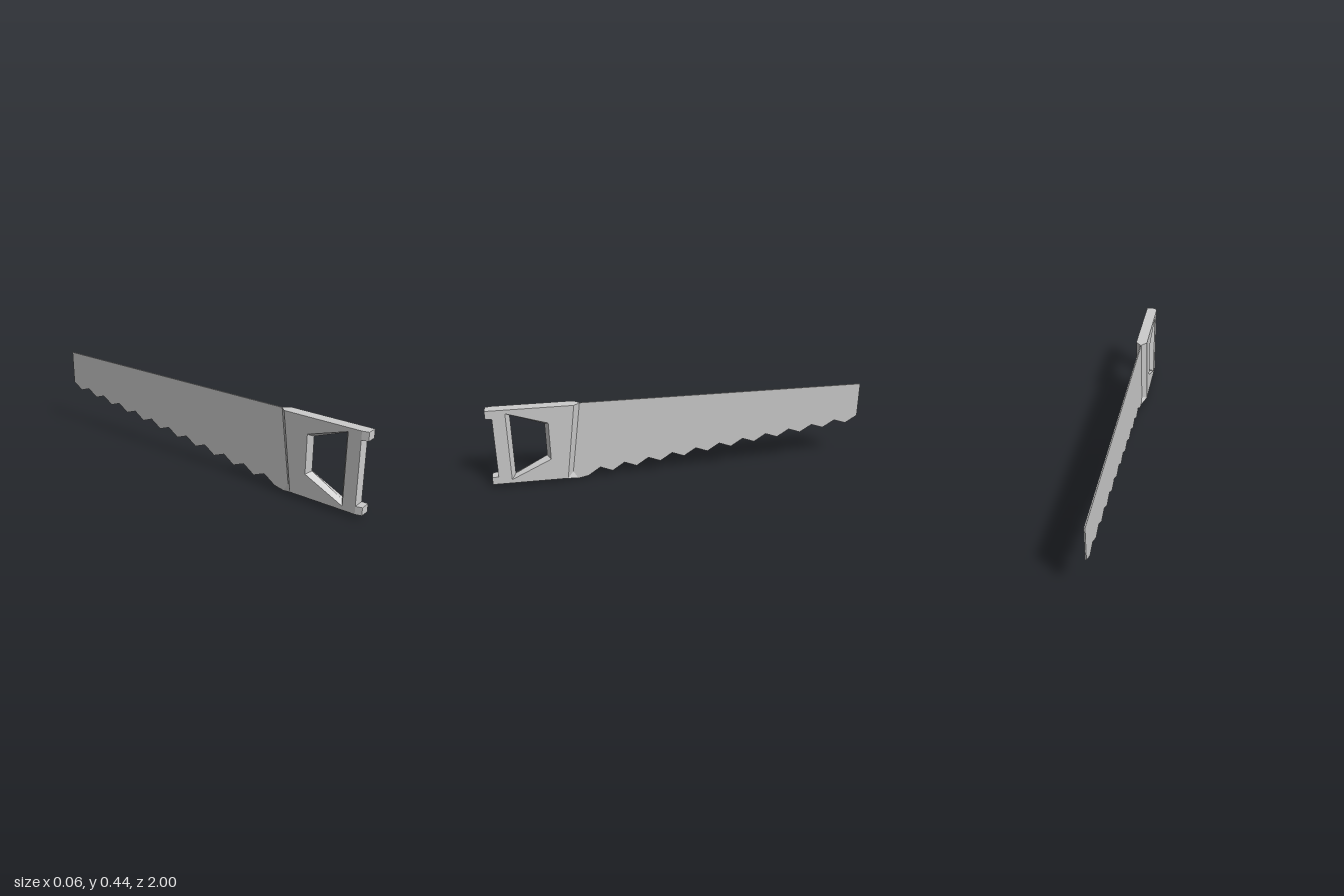
import * as THREE from 'three';

const material = new THREE.MeshStandardMaterial({ color: 0xcccccc, flatShading: true });
const HALF = 0.031;   // half width of the handle
const THIN = 0.003;   // half thickness of the blade

// Profiles are [z, y] points, counter-clockwise as seen from +x.
const OUTER = [[0.555, 0.438], [0.967, 0.438], [0.967, 0.02], [0.61, 0.02]];
const HOLE = [[0.9, 0.418], [0.9, 0.04], [0.69, 0.142], [0.69, 0.35]];
const HOLE_MID = [[0.88, 0.4], [0.88, 0.06], [0.71, 0.154], [0.71, 0.335]];
const NOSE = [[0.525, 0.438], [0.58, 0.045], [0.555, 0]];

const at = (x, points) => points.map(([z, y]) => [x, y, z]);
const shapePoints = (points, sign) => points.map(([z, y]) => new THREE.Vector2(sign * z, y));

function add(group, name, geometry) {
  const mesh = new THREE.Mesh(geometry, material);
  mesh.name = name;
  group.add(mesh);
}

// Flat faces from a list of convex corner loops
function facets(polygons) {
  const positions = [];
  for (const p of polygons) {
    for (let i = 1; i < p.length - 1; i++) positions.push(...p[0], ...p[i], ...p[i + 1]);
  }
  const geometry = new THREE.BufferGeometry();
  geometry.setAttribute('position', new THREE.Float32BufferAttribute(positions, 3));
  geometry.computeVertexNormals();
  return geometry;
}

// Quads joining two matching loops
function band(a, b, closed) {
  const quads = [];
  for (let i = 0; i < (closed ? a.length : a.length - 1); i++) {
    const j = (i + 1) % a.length;
    quads.push([a[i], b[i], b[j], a[j]]);
  }
  return quads;
}

function createHandle() {
  const handle = new THREE.Group();
  handle.name = 'handle';

  // Two cheeks with the hand opening
  for (const side of [1, -1]) {
    const shape = new THREE.Shape(shapePoints(OUTER, -side));
    shape.holes.push(new THREE.Path(shapePoints(HOLE, -side)));
    const cheek = new THREE.ShapeGeometry(shape);
    cheek.rotateY(side * Math.PI / 2).translate(side * HALF, 0, 0);
    add(handle, side > 0 ? 'leftCheek' : 'rightCheek', cheek);
  }

  // Rim, and the opening bevelled towards its middle
  add(handle, 'rim', facets(band(at(HALF, OUTER), at(-HALF, OUTER), false)));
  const middle = at(0, HOLE_MID);
  add(handle, 'handOpening', facets([
    ...band(middle, at(HALF, HOLE), true),
    ...band(at(-HALF, HOLE), middle, true),
  ]));

  // Nose tapering down to the blade
  const nose = [];
  const corners = [1, -1].map((side) => {
    const o = at(side * HALF, OUTER);
    const r = at(side * THIN, NOSE);
    const faces = [[o[3], r[1], r[0], o[0]], [o[3], r[2], r[1]]];
    nose.push(...(side > 0 ? faces : faces.map((f) => f.reverse())));
    return { top: o[0], bottom: o[3], r };
  });
  const [l, r] = corners;
  nose.push([l.top, l.r[0], r.r[0], r.top], [r.bottom, r.r[2], l.r[2], l.bottom]);
  add(handle, 'nose', facets(nose));

  // End lugs above and below the grip, chamfered on one corner
  const plan = new THREE.Shape([
    [-0.023, -1], [HALF, -1], [HALF, -0.967], [-HALF, -0.967],
  ].map(([x, s]) => new THREE.Vector2(x, s)));
  for (const [name, y, height] of [['upperLug', 0.393, 0.045], ['lowerLug', 0.02, 0.042]]) {
    const lug = new THREE.ExtrudeGeometry(plan, { depth: height, bevelEnabled: false });
    add(handle, name, lug.rotateX(-Math.PI / 2).translate(0, y, 0));
  }
  return handle;
}

// Thin blade with a rising row of teeth
function createBlade() {
  const outline = [...NOSE];
  for (let i = 0; i < 12; i++) {
    outline.push([0.5 - 0.1305 * i, 0.012 + 0.018 * i]);
    if (i < 11) outline.push([0.435 - 0.1305 * i, 0.057 + 0.0175 * i]);
  }
  outline.push([-1, 0.25], [-1, 0.438]);
  const geometry = new THREE.ExtrudeGeometry(
    new THREE.Shape(shapePoints(outline, -1)), { depth: 2 * THIN, bevelEnabled: false });
  return geometry.rotateY(Math.PI / 2).translate(-THIN, 0, 0);
}

export function createModel() {
  const saw = new THREE.Group();
  saw.name = 'handSaw';
  saw.add(createHandle());
  add(saw, 'blade', createBlade());
  return saw;
}
